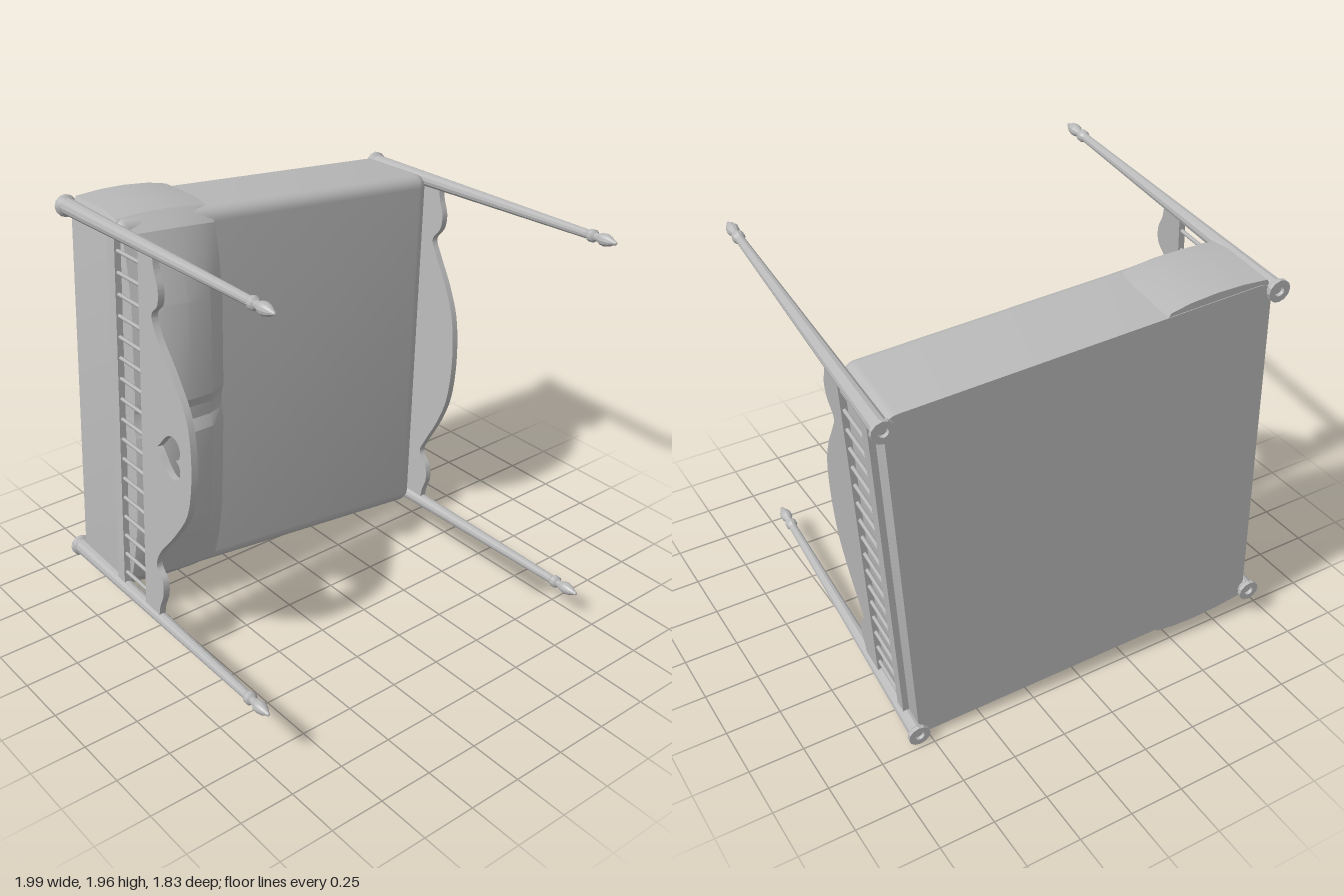
import * as THREE from 'three';
import { toCreasedNormals } from 'three/addons/utils/BufferGeometryUtils.js';
import { RoundedBoxGeometry } from 'three/addons/geometries/RoundedBoxGeometry.js';

const grey = new THREE.MeshStandardMaterial({ color: 0xb8b8b8 });
grey.name = 'plain grey';
grey.side = THREE.DoubleSide;

function add(parent, name, geometry, x = 0, y = 0, z = 0) {
  const mesh = new THREE.Mesh(geometry, grey);
  mesh.name = name;
  mesh.position.set(x, y, z);
  parent.add(mesh);
  return mesh;
}

// Turned bed post with a foot ring and a finial, standing along z
function postGeometry() {
  const profile = [
    [0, 0.015], [0.02, 0.015], [0.022, 0], [0.05, 0], [0.05, 0.018], [0.038, 0.03], [0.037, 0.1],
    [0.02, 1.49], [0.028, 1.505], [0.028, 1.525], [0.018, 1.535], [0.018, 1.55], [0.026, 1.57],
    [0.028, 1.59], [0.022, 1.615], [0.012, 1.635], [0.007, 1.65], [0, 1.656],
  ].map(([r, h]) => new THREE.Vector2(r, h));
  const g = new THREE.LatheGeometry(profile, 12).rotateX(Math.PI / 2);
  return toCreasedNormals(g, 0.45);
}

// Shaped board: half outline of (across, height) points from the end to the middle
function boardGeometry(bottom, half, heart) {
  const mirrored = half.slice(0, -1).reverse().map(([w, u]) => [-w, u]);
  const shape = new THREE.Shape();
  shape.moveTo(-0.83, bottom);
  shape.lineTo(0.83, bottom);
  shape.lineTo(...half[0]);
  shape.splineThru([...half.slice(1), ...mirrored].map(([w, u]) => new THREE.Vector2(w, u)));
  shape.closePath();
  if (heart) {
    const hole = new THREE.Path();
    hole.moveTo(0, 0.805);
    hole.bezierCurveTo(-0.03, 0.85, -0.096, 0.88, -0.096, 0.94);
    hole.bezierCurveTo(-0.096, 1.01, -0.012, 1.02, 0, 0.965);
    hole.bezierCurveTo(0.012, 1.02, 0.096, 1.01, 0.096, 0.94);
    hole.bezierCurveTo(0.096, 0.88, 0.03, 0.85, 0, 0.805);
    shape.holes.push(hole);
  }
  const g = new THREE.ExtrudeGeometry(shape, { depth: 0.03, bevelEnabled: false, curveSegments: 10 });
  g.translate(0, 0, -0.015);
  // outline lies across the bed, thickness along its length
  const m = new THREE.Matrix4().makeBasis(
    new THREE.Vector3(0, 1, 0), new THREE.Vector3(0, 0, 1), new THREE.Vector3(1, 0, 0));
  return toCreasedNormals(g.applyMatrix4(m), 0.5);
}

// Mattress with soft top edges and a flat underside
function mattressGeometry() {
  const g = new RoundedBoxGeometry(1.675, 1.74, 0.6, 4, 0.06);
  g.translate(0, 0, 0.15);
  const p = g.attributes.position;
  for (let i = 0; i < p.count; i++) p.setZ(i, Math.max(p.getZ(i), 0.035));
  return toCreasedNormals(g, 0.6);
}

// Pillow cover draped over the head end, lofted along the bed
function pillowGeometry() {
  const sections = [[-0.825, 0], [-0.815, 0.5], [-0.7, 0.87], [-0.58, 1], [-0.46, 0.87], [-0.37, 0.5], [-0.355, 0]];
  const positions = [], index = [];
  let n = 0;
  for (const [l, b] of sections) {
    const half = [
      [0.866 + 0.04 * b, 0.038], [0.866 + 0.04 * b, 0.3], [0.85 + 0.035 * b, 0.4],
      [0.8 + 0.02 * b, 0.435 + 0.05 * b], [0.68, 0.452 + 0.085 * b], [0.52, 0.452 + 0.14 * b],
      [0.08, 0.452 + 0.16 * b], [0.03, 0.452 + 0.13 * b],
    ];
    const ring = [...half, ...half.slice().reverse().map(([w, u]) => [-w, u])];
    n = ring.length;
    for (const [w, u] of ring) positions.push(l, w, u);
  }
  for (let s = 0; s < sections.length - 1; s++) {
    for (let i = 0; i < n; i++) {
      const j = (i + 1) % n;
      const a = s * n + i, b = s * n + j, c = a + n, d = b + n;
      index.push(a, b, c, b, d, c);
    }
  }
  const g = new THREE.BufferGeometry();
  g.setAttribute('position', new THREE.Float32BufferAttribute(positions, 3));
  // winding faces outward
  for (let i = 0; i < index.length; i += 3) [index[i + 1], index[i + 2]] = [index[i + 2], index[i + 1]];
  g.setIndex(index);
  return toCreasedNormals(g, 0.35);
}

// Row of thin spindles between two heights
function addSpindles(parent, name, l, low, high) {
  const row = new THREE.Group();
  row.name = name;
  const g = new THREE.CylinderGeometry(0.009, 0.009, high - low, 8).rotateX(Math.PI / 2);
  const count = 17;
  for (let i = 0; i < count; i++) {
    add(row, 'spindle', g, l, (i - (count - 1) / 2) * 0.095, (low + high) / 2);
  }
  parent.add(row);
}

export function createModel() {
  const model = new THREE.Group();
  model.name = 'bed';

  // Bed axes: x to the foot, y across, z up the posts
  const frame = new THREE.Group();
  frame.name = 'bedFrame';
  const up = new THREE.Vector3(-0.0545, 0.052, 0.997).normalize();
  const across = new THREE.Vector3(0.0775, 0.9957, -0.0507);
  const along = across.clone().cross(up).normalize();
  across.copy(up).cross(along).normalize();
  frame.quaternion.setFromRotationMatrix(new THREE.Matrix4().makeBasis(along, across, up));
  frame.position.set(0.03, 0.9575, -0.8225);
  model.add(frame);

  // Four posts
  const post = postGeometry();
  for (const x of [-0.85, 0.85]) {
    for (const y of [-0.84, 0.84]) add(frame, x < 0 ? 'headPost' : 'footPost', post, x, y, 0);
  }

  // Bedding
  add(frame, 'mattress', mattressGeometry());
  add(frame, 'pillowCover', pillowGeometry());

  // Headboard with heart cut-out
  const headHalf = [
    [0.83, 0.8], [0.77, 0.81], [0.7, 0.84], [0.63, 0.835], [0.575, 0.787], [0.49, 0.825],
    [0.35, 0.955], [0.2, 1.06], [0, 1.09],
  ];
  add(frame, 'headboard', boardGeometry(0.68, headHalf, true), -0.85);
  addSpindles(frame, 'headSpindles', -0.85, 0.47, 0.69);
  add(frame, 'headRail', new THREE.BoxGeometry(0.03, 1.66, 0.06), -0.85, 0, 0.45);

  // Footboard
  const footHalf = [
    [0.83, 0.525], [0.77, 0.535], [0.7, 0.56], [0.63, 0.55], [0.565, 0.5], [0.49, 0.535],
    [0.35, 0.62], [0.2, 0.68], [0, 0.7],
  ];
  add(frame, 'footboard', boardGeometry(0.4, footHalf, false), 0.85);
  addSpindles(frame, 'footSpindles', 0.85, 0.18, 0.41);
  add(frame, 'footRail', new THREE.BoxGeometry(0.03, 1.66, 0.06), 0.85, 0, 0.16);

  return model;
}
